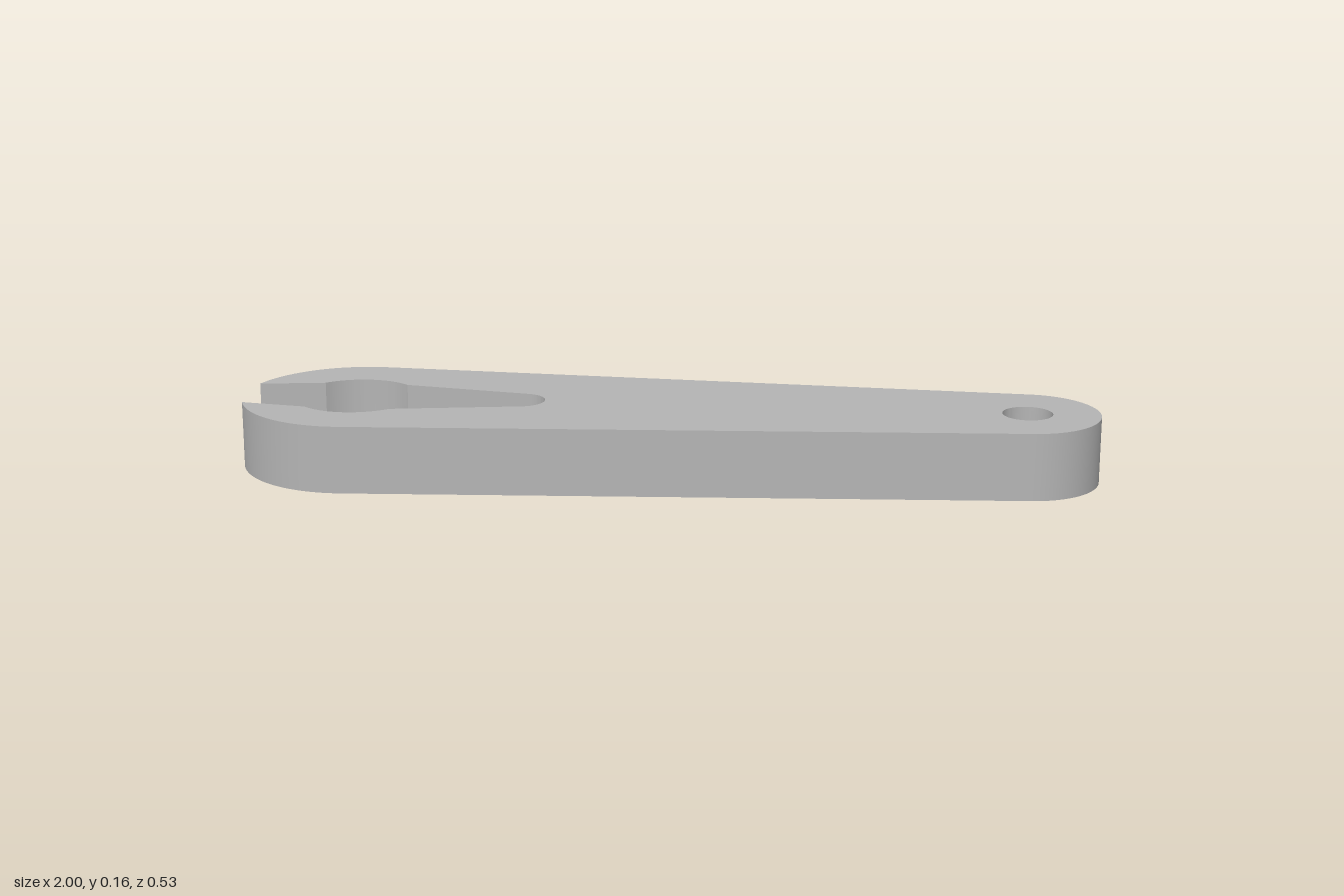
import * as THREE from 'three';
import { toCreasedNormals } from 'three/addons/utils/BufferGeometryUtils.js';

const HEIGHT = 0.157, FLOOR = 0.05;
const BIG = { x: -0.733, r: 0.267 }, SMALL = { x: 0.832, r: 0.168 };
const SLOT = 0.083; // half width of the pocket where it opens at the end

// Points along an arc centred on the arm's axis
function arc(x, r, from, to, steps = 24) {
  return Array.from({ length: steps + 1 }, (_, i) => {
    const a = from + (to - from) * i / steps;
    return new THREE.Vector2(x + r * Math.cos(a), r * Math.sin(a));
  });
}

// Horizontal face bounded by a loop, with optional holes
function cap(loop, holes, y, down = false) {
  const shape = new THREE.Shape(loop);
  shape.holes = holes.map((h) => new THREE.Path(h));
  const geo = new THREE.ShapeGeometry(shape);
  geo.rotateX(down ? Math.PI / 2 : -Math.PI / 2); // outlines are symmetric in z
  return geo.translate(0, y, 0);
}

// Upright wall along a run of points, solid on the left of travel
function wall(points, y0, y1) {
  const pos = [];
  for (let i = 0; i < points.length - 1; i++) {
    const a = points[i], b = points[i + 1];
    if (a.distanceTo(b) < 1e-6) continue;
    pos.push(a.x, y0, -a.y, b.x, y0, -b.y, b.x, y1, -b.y);
    pos.push(a.x, y0, -a.y, b.x, y1, -b.y, a.x, y1, -a.y);
  }
  const geo = new THREE.BufferGeometry();
  geo.setAttribute('position', new THREE.Float32BufferAttribute(pos, 3));
  return toCreasedNormals(geo, 0.3);
}

export function createModel() {
  const group = new THREE.Group();
  const grey = new THREE.MeshStandardMaterial({ color: 0xb4b4b4 });
  grey.name = 'plain grey';
  const add = (name, geo) => {
    const mesh = new THREE.Mesh(geo, grey);
    mesh.name = name;
    group.add(mesh);
  };

  // Tapered outline: two round ends joined by tangent lines, open at the slot
  const tangent = Math.acos((BIG.r - SMALL.r) / (SMALL.x - BIG.x));
  const open = Math.asin(SLOT / BIG.r);
  const outer = [
    ...arc(BIG.x, BIG.r, Math.PI + open, 2 * Math.PI - tangent),
    ...arc(SMALL.x, SMALL.r, -tangent, tangent, 40),
    ...arc(BIG.x, BIG.r, tangent, Math.PI - open),
  ];
  const endArc = arc(BIG.x, BIG.r, Math.PI - open, Math.PI + open, 12);
  const outline = [...outer, ...endArc.slice(1, -1)];

  // Pocket: slot, round hub bulge, then a taper to a rounded tip
  const half = [
    outer[outer.length - 1],
    ...arc(BIG.x, 0.146, Math.PI - 0.82, 0.82),
    ...arc(-0.342, 0.056, 1.4, 0, 12),
  ];
  const mirrored = half.slice(0, -1).reverse().map((p) => new THREE.Vector2(p.x, -p.y));
  const pocket = [...half, ...mirrored];

  // Holes run clockwise so their walls face inwards
  const hubHole = arc(BIG.x, 0.035, 2 * Math.PI, 0, 32);
  const tipHole = arc(SMALL.x, 0.058, 2 * Math.PI, 0, 40);
  const hub = hubHole.slice(0, -1), tip = tipHole.slice(0, -1);

  add('underside', cap(outline, [hub, tip], 0, true));
  add('topFace', cap([...outer, ...pocket.slice(1, -1)], [tip], HEIGHT));
  add('pocketFloor', cap([...pocket, ...endArc.slice(1, -1).reverse()], [hub], FLOOR));
  add('outerWall', wall(outer, 0, HEIGHT));
  add('slotSill', wall(endArc, 0, FLOOR));
  add('pocketWall', wall(pocket, FLOOR, HEIGHT));
  add('hubHole', wall(hubHole, 0, FLOOR));
  add('tipHole', wall(tipHole, 0, HEIGHT));
  return group;
}
